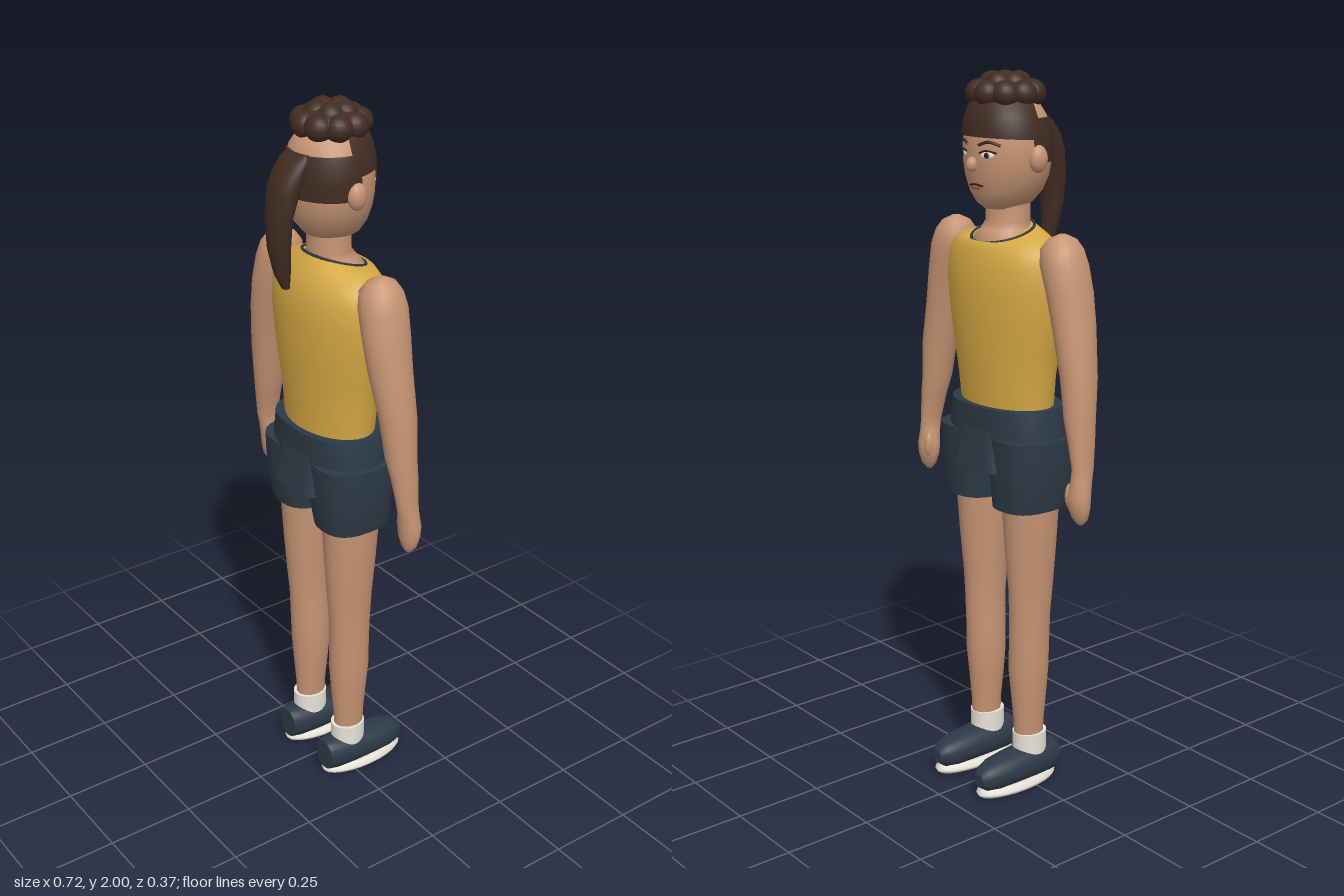
import * as THREE from 'three';

const mat = (name, color, side = THREE.FrontSide) => {
  const m = new THREE.MeshStandardMaterial({ color, side });
  m.name = name;
  return m;
};

// Skin a stack of rings [y, cx, cz, rx, rz, tilt], listed bottom to top.
// n is the roundness (2 = ellipse); arc leaves an open shell.
function loft(rings, { n = 2, seg = 24, arc = null, mirror = 1 } = {}) {
  const pos = [], idx = [];
  const cols = arc ? seg + 1 : seg;
  const [a0, a1] = arc || [0, Math.PI * 2];
  const power = v => Math.sign(v) * Math.abs(v) ** (2 / n);
  const addRing = ([y, cx, cz, rx, rz, tilt = 0]) => {
    const start = pos.length / 3;
    for (let j = 0; j < cols; j++) {
      const a = a0 + (a1 - a0) * j / seg;
      const z = cz + rz * power(Math.sin(a));
      pos.push(cx * mirror + rx * power(Math.cos(a)), y + tilt * z, z);
    }
    return start;
  };
  const starts = rings.map(addRing);
  for (let i = 0; i < rings.length - 1; i++) {
    for (let j = 0; j < seg; j++) {
      const k = (j + 1) % cols, p = starts[i], q = starts[i + 1];
      idx.push(p + j, q + j, p + k, p + k, q + j, q + k);
    }
  }
  // Flat caps with their own corners keep the rim sharp
  if (!arc) {
    [rings[0], rings[rings.length - 1]].forEach((r, top) => {
      const s = addRing(r), c = pos.length / 3;
      pos.push(r[1] * mirror, r[0] + (r[5] || 0) * r[2], r[2]);
      for (let j = 0; j < seg; j++) {
        const k = (j + 1) % seg;
        if (top) idx.push(c, s + k, s + j); else idx.push(c, s + j, s + k);
      }
    });
  }
  const g = new THREE.BufferGeometry();
  g.setAttribute('position', new THREE.Float32BufferAttribute(pos, 3));
  g.setIndex(idx);
  g.computeVertexNormals();
  return g;
}

export function createModel() {
  const model = new THREE.Group();
  model.name = 'standingFigure';
  const skin = mat('skin', 0xc69473);
  const hair = mat('hair', 0x402c22, THREE.DoubleSide);
  const yellow = mat('yellowCloth', 0xd6a944);
  const navy = mat('navyCloth', 0x2c3a46);
  const white = mat('white', 0xe6e2d8);
  const dark = mat('faceLines', 0x2a1c18);
  const lip = mat('lips', 0x8a4b40);

  const add = (name, geo, m, parent = model) => {
    const mesh = new THREE.Mesh(geo, m);
    mesh.name = name;
    parent.add(mesh);
    return mesh;
  };
  const ball = (name, m, p, s, parent = model) => {
    const b = add(name, new THREE.SphereGeometry(1, 18, 12), m, parent);
    b.position.set(...p);
    b.scale.set(...s);
    return b;
  };
  const line = (name, m, pts, r, closed = false, parent = model) => add(name, new THREE.TubeGeometry(
    new THREE.CatmullRomCurve3(pts.map(p => new THREE.Vector3(...p)), closed), closed ? 40 : 10, r, 6, closed), m, parent);

  // Tank top with a neckline that dips at the front
  add('tankTop', loft([
    [1.10, 0, 0, .155, .1], [1.2, 0, -.002, .163, .108], [1.28, 0, -.002, .177, .115],
    [1.36, 0, -.002, .194, .12], [1.44, 0, -.002, .205, .122], [1.5, 0, -.002, .203, .119],
    [1.545, 0, -.003, .185, .108], [1.573, 0, -.008, .145, .094, .08], [1.588, 0, -.015, .09, .08, .3],
  ], { seg: 32 }), yellow);
  const rim = [];
  for (let i = 0; i < 16; i++) {
    const a = i / 16 * Math.PI * 2, z = -.015 + .08 * Math.sin(a);
    rim.push([.09 * Math.cos(a), 1.588 + .3 * z, z]);
  }
  line('collar', navy, rim, .004, true);
  add('neck', loft([
    [1.5, 0, -.01, .11, .08], [1.565, 0, -.014, .086, .078], [1.59, 0, -.004, .068, .066],
    [1.61, 0, .002, .062, .058], [1.68, 0, .002, .062, .058],
  ]), skin);

  // Shorts: waistband, centre panel and two legs
  add('waistband', loft([[1.0, 0, 0, .186, .115], [1.05, 0, 0, .186, .119], [1.12, 0, 0, .173, .118]],
    { n: 2.4, seg: 32 }), navy);
  add('shortsPanel', loft([[.945, 0, .002, .102, .134], [1.04, 0, 0, .09, .121], [1.09, 0, 0, .08, .115]],
    { n: 5, seg: 32 }), navy);

  for (const s of [1, -1]) {
    const side = s > 0 ? 'left' : 'right';
    const o = { mirror: s };
    const limb = new THREE.Group();
    limb.name = side + 'Side';
    model.add(limb);

    // Arm and hand in one smooth form
    add(side + 'Arm', loft([
      [.848, .33, -.022, .008, .008], [.865, .33, -.024, .023, .02], [.895, .327, -.026, .033, .028],
      [.925, .326, -.026, .034, .031], [.965, .328, -.02, .027, .03], [1.0, .328, -.015, .023, .033],
      [1.07, .318, -.012, .032, .039], [1.13, .306, -.008, .039, .045], [1.235, .296, -.004, .046, .052],
      [1.365, .268, .003, .052, .062], [1.45, .25, .003, .057, .066], [1.52, .231, 0, .062, .066],
      [1.56, .222, 0, .055, .058], [1.585, .222, 0, .036, .04], [1.598, .222, 0, .01, .012],
    ], o), skin, limb);
    ball(side + 'Thumb', skin, [s * .308, .925, -.04], [.014, .035, .015], limb);

    add(side + 'ShortsLeg', loft([
      [.84, .099, -.003, .084, .1], [.9, .102, 0, .093, .108], [.98, .102, 0, .099, .114], [1.04, .102, 0, .1, .116],
    ], { n: 2.6, mirror: s }), navy, limb);
    add(side + 'Leg', loft([
      [.14, .096, 0, .036, .044], [.2, .096, 0, .039, .046], [.28, .095, 0, .047, .053],
      [.36, .095, -.001, .054, .059], [.44, .097, 0, .052, .06], [.52, .099, 0, .051, .062],
      [.6, .1, .002, .055, .067], [.72, .1, .001, .063, .077], [.86, .1, 0, .071, .086],
    ], o), skin, limb);

    add(side + 'Sock', loft([[.07, .096, .003, .046, .052], [.13, .096, .003, .045, .051], [.162, .096, .003, .045, .051]],
      o), white, limb);
    // Shoe runs from toe to heel, turned to lie along z
    const shoe = loft([
      [-.183, .096, -.058, .02, .018], [-.165, .096, -.06, .036, .034], [-.13, .096, -.064, .048, .042],
      [-.07, .096, -.068, .053, .046], [0, .096, -.071, .053, .05], [.06, .096, -.071, .048, .05], [.087, .096, -.07, .038, .046],
    ], { n: 2.3, mirror: s });
    shoe.rotateX(Math.PI / 2);
    add(side + 'Shoe', shoe, navy, limb);
    add(side + 'Sole', loft([
      [0, .096, -.047, .036, .118], [.008, .096, -.047, .052, .132], [.018, .096, -.047, .057, .138], [.03, .096, -.047, .044, .125],
    ], o), white, limb);
  }

  // Head
  const headRings = [
    [1.645, 0, -.012, .045, .055], [1.66, 0, -.008, .068, .078], [1.69, 0, -.003, .093, .098],
    [1.73, 0, 0, .112, .11], [1.77, 0, 0, .12, .115], [1.81, 0, 0, .121, .115], [1.85, 0, 0, .116, .112],
    [1.885, 0, 0, .104, .103], [1.915, 0, 0, .083, .085], [1.935, 0, 0, .05, .05], [1.94, 0, 0, .01, .01],
  ];
  add('head', loft(headRings, { seg: 32 }), skin);
  const faceZ = (x, y) => {
    const i = Math.max(1, headRings.findIndex(r => r[0] > y)), a = headRings[i - 1], b = headRings[i];
    const t = (y - a[0]) / (b[0] - a[0]), mix = k => a[k] + (b[k] - a[k]) * t;
    return mix(2) - mix(4) * Math.sqrt(1 - (x / mix(3)) ** 2);
  };
  const onFace = (x, y, lift = .001) => [x, y, faceZ(x, y) - lift];
  for (const s of [1, -1]) {
    const side = s > 0 ? 'left' : 'right';
    ball(side + 'Ear', skin, [s * .122, 1.78, .003], [.022, .036, .027]);
    const turn = -s * .42;
    ball(side + 'Eye', white, onFace(s * .048, 1.79, 0), [.019, .009, .004]).rotation.y = turn;
    ball(side + 'Iris', dark, onFace(s * .048, 1.79, .002), [.008, .008, .004]).rotation.y = turn;
    line(side + 'Lash', dark, [onFace(s * .025, 1.795), onFace(s * .048, 1.802, .005), onFace(s * .074, 1.796, .004)], .0025);
    line(side + 'Brow', hair, [onFace(s * .022, 1.815), onFace(s * .05, 1.824), onFace(s * .08, 1.815)], .004);
  }
  ball('nose', skin, [0, 1.764, -.118], [.015, .02, .017]);
  line('upperLip', dark, [onFace(-.028, 1.708), onFace(0, 1.712), onFace(.028, 1.708)], .0025);
  line('lowerLip', lip, [onFace(-.018, 1.704), onFace(0, 1.701), onFace(.018, 1.704)], .003);

  // Hair: front cap, back band, ponytail and a curly crown
  add('frontHair', loft([
    [1.828, 0, 0, .124, .118, -.06], [1.85, 0, 0, .122, .118, -.02], [1.885, 0, 0, .112, .113],
    [1.92, 0, 0, .095, .1], [1.94, 0, 0, .06, .06],
  ], { arc: [Math.PI * .97, Math.PI * 2.03] }), hair);
  add('backHair', loft([
    [1.768, 0, 0, .123, .118], [1.81, 0, 0, .125, .12], [1.85, 0, 0, .121, .118], [1.882, 0, 0, .109, .11],
  ], { arc: [-.1, Math.PI + .1] }), hair);
  add('ponytail', loft([
    [1.528, 0, .138, .012, .01], [1.57, 0, .148, .022, .022], [1.64, 0, .157, .036, .028], [1.72, 0, .157, .046, .03],
    [1.79, 0, .142, .053, .037], [1.83, 0, .125, .054, .038], [1.865, 0, .105, .052, .03], [1.882, 0, .095, .045, .015],
  ]), hair);
  const crown = new THREE.Group();
  crown.name = 'curlyCrown';
  model.add(crown);
  ball('crownCore', hair, [0, 1.945, 0], [.09, .043, .09], crown);
  for (const [count, radius, y, size] of [[9, .07, 1.942, .037], [5, .036, 1.963, .036]]) {
    for (let i = 0; i < count; i++) {
      const a = (i + .5) / count * Math.PI * 2;
      ball('curl', hair, [radius * Math.cos(a), y, radius * Math.sin(a) - .005], [size, size * .95, size], crown);
    }
  }
  return model;
}
